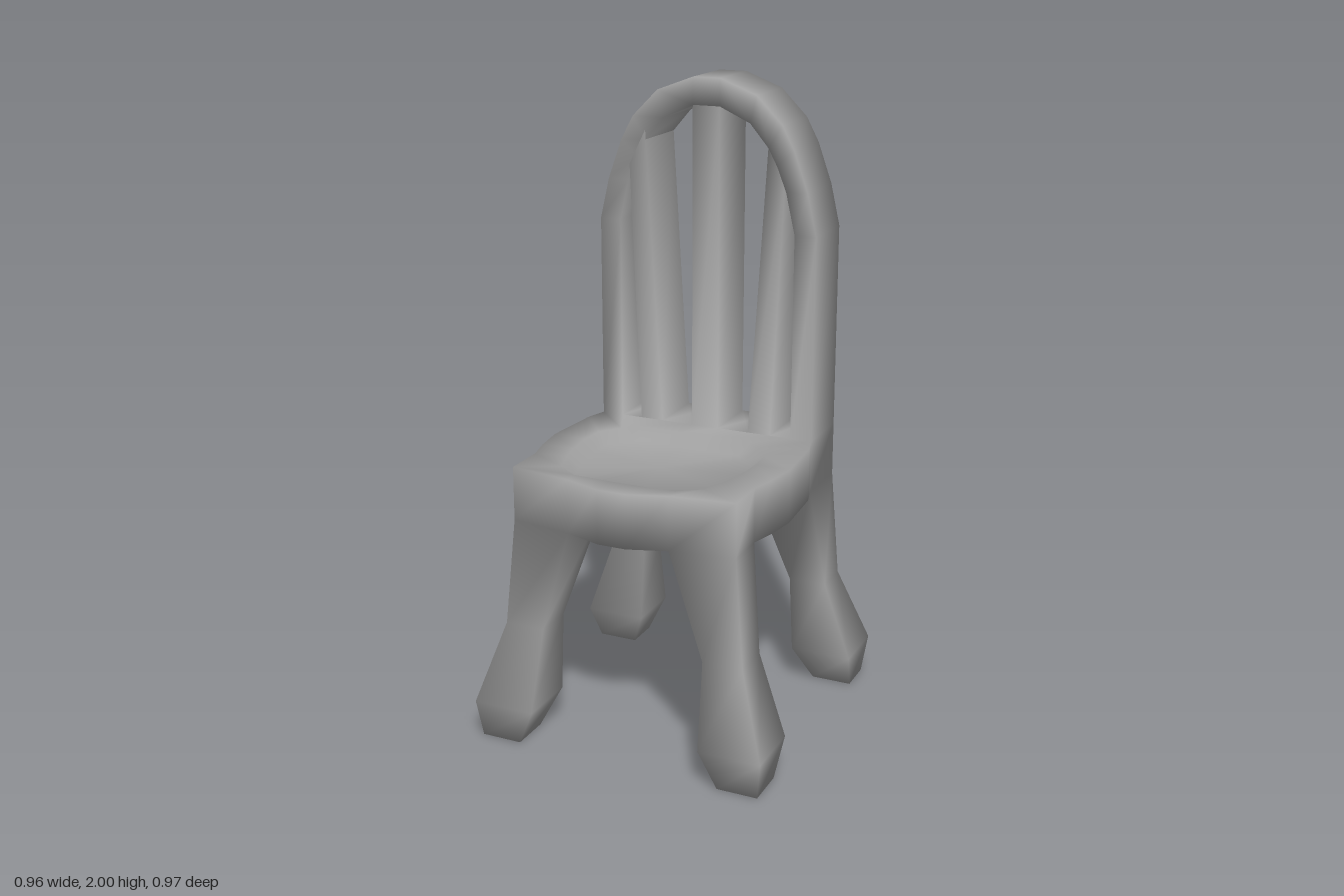
import * as THREE from 'three';

const material = new THREE.MeshStandardMaterial({ color: 0xa0a0a0 });

const SEAT_BOTTOM = 0.72, SEAT_TOP = 0.89, BACK_FRONT = -0.19, BACK_REAR = -0.395;

// Skin over rings of equal length, with optional fan caps at the start and end.
function loft(name, rings, capStart, capEnd) {
  const n = rings[0].length;
  const points = rings.flat();
  const index = [];
  for (let i = 0; i < rings.length - 1; i++) {
    for (let j = 0; j < n; j++) {
      const a = i * n + j, b = i * n + (j + 1) % n;
      index.push(a, b, b + n, a, b + n, a + n);
    }
  }
  const cap = (ring, base, flip) => {
    const centre = points.length;
    points.push([0, 1, 2].map(k => ring.reduce((sum, p) => sum + p[k], 0) / n));
    for (let j = 0; j < n; j++) {
      const a = base + j, b = base + (j + 1) % n;
      index.push(centre, flip ? b : a, flip ? a : b);
    }
  };
  if (capStart) cap(rings[0], 0, true);
  if (capEnd) cap(rings[rings.length - 1], (rings.length - 1) * n, false);

  const geometry = new THREE.BufferGeometry();
  geometry.setAttribute('position', new THREE.Float32BufferAttribute(points.flat(), 3));
  geometry.setIndex(index);
  const mesh = new THREE.Mesh(geometry, material);
  mesh.name = name;
  return mesh;
}

// Angle-weighted normals shared by all parts that meet at a corner, so joints shade smoothly.
function smoothTogether(meshes) {
  const sums = new Map();
  const key = v => v.toArray().map(c => Math.round(c * 1000)).join();
  const corner = (mesh, i) => new THREE.Vector3().fromBufferAttribute(mesh.geometry.attributes.position, i);
  for (const mesh of meshes) {
    const index = mesh.geometry.index.array;
    for (let t = 0; t < index.length; t += 3) {
      const p = [0, 1, 2].map(k => corner(mesh, index[t + k]));
      const normal = new THREE.Triangle(...p).getNormal(new THREE.Vector3());
      p.forEach((v, k) => {
        const angle = p[(k + 1) % 3].clone().sub(v).angleTo(p[(k + 2) % 3].clone().sub(v));
        if (!sums.has(key(v))) sums.set(key(v), new THREE.Vector3());
        sums.get(key(v)).addScaledVector(normal, angle);
      });
    }
  }
  for (const mesh of meshes) {
    const normals = [];
    for (let i = 0; i < mesh.geometry.attributes.position.count; i++) {
      const sum = sums.get(key(corner(mesh, i)));
      normals.push(...(sum ? sum.clone().normalize() : new THREE.Vector3(0, 1, 0)).toArray());
    }
    mesh.geometry.setAttribute('normal', new THREE.Float32BufferAttribute(normals, 3));
  }
}

const mirror = rings => rings.map(r => r.map(([x, y, z]) => [-x, y, z]).reverse());
const level = (pts, y) => pts.map(([x, z]) => [x, y, z]);
const bothSides = half => [...half, ...half.map(([x, z]) => [-x, z]).reverse()];
const rect = (y, x0, x1, z0, z1) => level([[x1, z1], [x1, z0], [x0, z0], [x0, z1]], y);

// Four-cornered section of the backrest between an outer and an inner point
const backSection = ([ox, oy], [ix, iy]) => [
  [ox, oy, BACK_FRONT], [ox, oy, BACK_REAR], [ix, iy, BACK_REAR], [ix, iy, BACK_FRONT]];

function seat() {
  const front = [[0.045, 0.475], [0.165, 0.435], [0.365, 0.405], [0.365, 0.27], [0.385, 0.19],
    [0.4, 0.08], [0.385, -0.12], [0.365, BACK_FRONT]];
  const outline = bothSides([...front, [0.365, BACK_REAR], [0.165, BACK_REAR]]);
  const topEdge = bothSides([...front, [0.295, BACK_FRONT], [0.045, BACK_FRONT]]);
  // Crest of the rim and the sunken floor inside it
  const crest = bothSides([[0.045, 0.395], [0.165, 0.39], [0.235, 0.34], [0.265, 0.25], [0.28, 0.18],
    [0.29, 0.08], [0.285, 0], [0.235, -0.06], [0.195, -0.1], [0.045, -0.1]]);
  const floor = crest.map(([x, z]) => [x * 0.87, 0.14 + (z - 0.14) * 0.87]);
  // Underside, leaving out the corners where the legs join
  const underside = bothSides([[0.045, 0.475], [0.165, 0.435], [0.165, 0.215], ...front.slice(3),
    [0.165, BACK_FRONT], [0.165, BACK_REAR]]);
  return [
    loft('seatEdge', [level(outline, SEAT_BOTTOM), level(outline, SEAT_TOP)]),
    loft('seatDish', [level(topEdge, SEAT_TOP), level(crest, SEAT_TOP), level(floor, SEAT_TOP - 0.035)], false, true),
    loft('seatUnderside', [level(underside, SEAT_BOTTOM)], true)];
}

function backArch() {
  const outer = [[0.365, SEAT_TOP], [0.365, 1.54], [0.335, 1.67], [0.29, 1.795],
    [0.25, 1.87], [0.165, 1.955], [0.045, 2]];
  const inner = [[0.295, SEAT_TOP], [0.295, 1.54], [0.265, 1.67], [0.235, 1.745],
    [0.205, 1.8], [0.145, 1.87], [0.045, 1.915]];
  const flip = ([x, y]) => [-x, y];
  const left = outer.map((o, i) => backSection(o, inner[i]));
  const right = outer.map((o, i) => backSection(flip(o), flip(inner[i]))).reverse();
  return loft('backArch', [...left, ...right]);
}

export function createModel() {
  const parts = [...seat(), backArch()];
  const addPair = (name, rings, ...caps) => parts.push(
    loft('left' + name, rings, ...caps), loft('right' + name, mirror(rings), ...caps));

  // Slats: an upright one in the middle and a splayed one on each side
  parts.push(loft('centreSlat', [
    backSection([0.045, SEAT_TOP], [-0.045, SEAT_TOP]),
    backSection([0.045, 1.93], [-0.045, 1.93])]));
  addPair('Slat', [
    backSection([0.225, SEAT_TOP], [0.15, SEAT_TOP]),
    backSection([0.262, 1.72], [0.207, 1.83])]);

  // Seat surface in the gaps between the slats
  addPair('InnerGap', [rect(SEAT_TOP, 0.045, 0.15, BACK_REAR, BACK_FRONT)], false, true);
  addPair('OuterGap', [rect(SEAT_TOP, 0.225, 0.295, BACK_REAR, BACK_FRONT)], false, true);

  // Legs: blunt foot, narrow ankle, flaring up into the seat corners
  addPair('FrontLeg', [
    rect(0, 0.335, 0.465, 0.335, 0.465),
    rect(0.12, 0.28, 0.48, 0.285, 0.483),
    rect(0.38, 0.267, 0.395, 0.29, 0.42),
    level([[0.365, 0.405], [0.365, 0.27], [0.165, 0.215], [0.165, 0.435]], SEAT_BOTTOM)], true);
  addPair('BackLeg', [
    rect(0, 0.335, 0.465, -0.46, -0.345),
    rect(0.12, 0.28, 0.48, -0.483, -0.285),
    rect(0.37, 0.267, 0.39, -0.408, -0.285),
    rect(SEAT_BOTTOM, 0.165, 0.365, BACK_REAR, BACK_FRONT)], true);

  smoothTogether(parts);
  const chair = new THREE.Group();
  chair.name = 'chair';
  chair.add(...parts);
  return chair;
}
